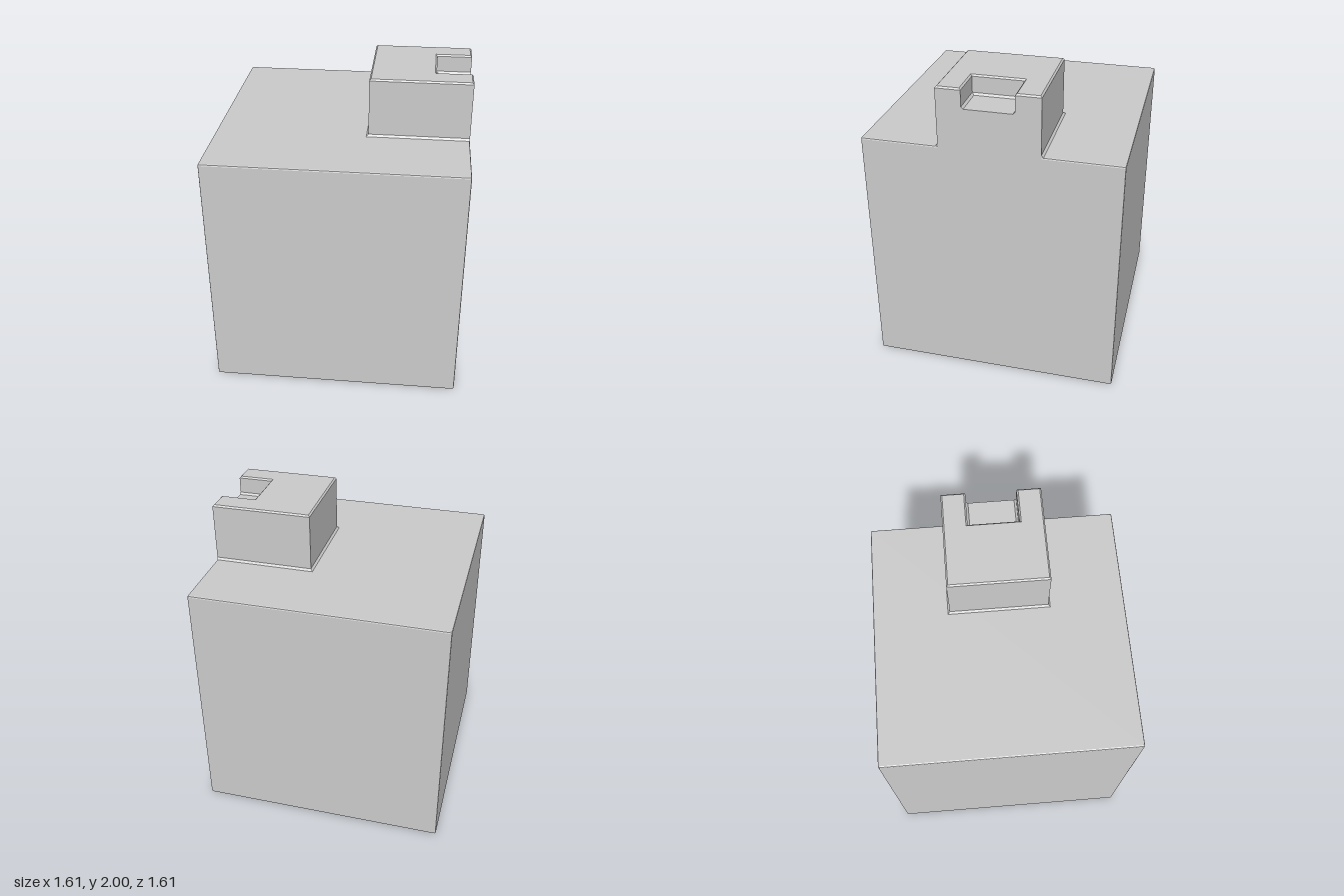
import * as THREE from 'three';
import { RoundedBoxGeometry } from 'three/addons/geometries/RoundedBoxGeometry.js';

const EDGE = 0.01;      // chamfer on all outer edges
const HALF = 0.805;     // half width of the body
const TOP = 1.62;       // height of the body
const BOSS = { x: 0.17, z: 0.315 };
const NOTCH = { x: 0.58, z: 0.16, y: 1.875 };

export function createModel() {
  const group = new THREE.Group();
  const material = new THREE.MeshStandardMaterial({ color: 0xcccccc, flatShading: true });

  const add = (name, geometry, x, y, z) => {
    const mesh = new THREE.Mesh(geometry, material);
    mesh.name = name;
    mesh.position.set(x, y, z);
    group.add(mesh);
    return mesh;
  };

  // Large chamfered block
  add('body', new RoundedBoxGeometry(2 * HALF, TOP, 2 * HALF, 1, EDGE), 0, TOP / 2, 0);

  // Raised block, flush with the +x side, with a notch open to that side
  const outline = new THREE.Shape([
    [BOSS.x, -BOSS.z], [HALF, -BOSS.z], [HALF, -NOTCH.z], [NOTCH.x, -NOTCH.z],
    [NOTCH.x, NOTCH.z], [HALF, NOTCH.z], [HALF, BOSS.z], [BOSS.x, BOSS.z],
  ].map(([x, y]) => new THREE.Vector2(x, y)));
  const base = TOP - EDGE;
  const boss = new THREE.ExtrudeGeometry(outline, {
    depth: 2 - EDGE - base, bevelEnabled: true, bevelSegments: 1,
    bevelThickness: EDGE, bevelSize: EDGE, bevelOffset: -EDGE,
  });
  boss.rotateX(-Math.PI / 2);
  add('raisedBlock', boss, 0, base, 0);

  // Floor of the notch
  const notchLength = HALF - NOTCH.x;
  const notchMid = (HALF + NOTCH.x) / 2;
  add('notchFloor', new THREE.BoxGeometry(notchLength, NOTCH.y - base, 2 * NOTCH.z),
    notchMid, (NOTCH.y + base) / 2, 0);

  // Small sloped strips where the notch floor meets its three walls
  const fillet = (length, x, z, turn) => {
    const s = 0.013;
    const triangle = new THREE.Shape([
      new THREE.Vector2(0, 0), new THREE.Vector2(s, 0), new THREE.Vector2(0, s),
    ]);
    const geometry = new THREE.ExtrudeGeometry(triangle, { depth: length, bevelEnabled: false });
    geometry.translate(0, 0, -length / 2);
    add('notchFillet', geometry, x, NOTCH.y, z).rotation.y = turn;
  };
  fillet(2 * NOTCH.z, NOTCH.x, 0, 0);
  for (const side of [-1, 1]) fillet(notchLength, notchMid, side * NOTCH.z, side * Math.PI / 2);

  // Sloped skirt around the foot of the raised block, tapering on three sides
  const flare = 0.013;
  const skirt = new THREE.BoxGeometry(HALF - BOSS.x + flare, flare, 2 * (BOSS.z + flare));
  const p = skirt.attributes.position;
  for (let i = 0; i < p.count; i++) {
    if (p.getY(i) < 0) continue;
    if (p.getX(i) < 0) p.setX(i, p.getX(i) + flare);
    p.setZ(i, p.getZ(i) - Math.sign(p.getZ(i)) * flare);
  }
  skirt.computeVertexNormals();
  add('raisedBlockSkirt', skirt, (HALF + BOSS.x - flare) / 2, TOP + flare / 2, 0);

  return group;
}
